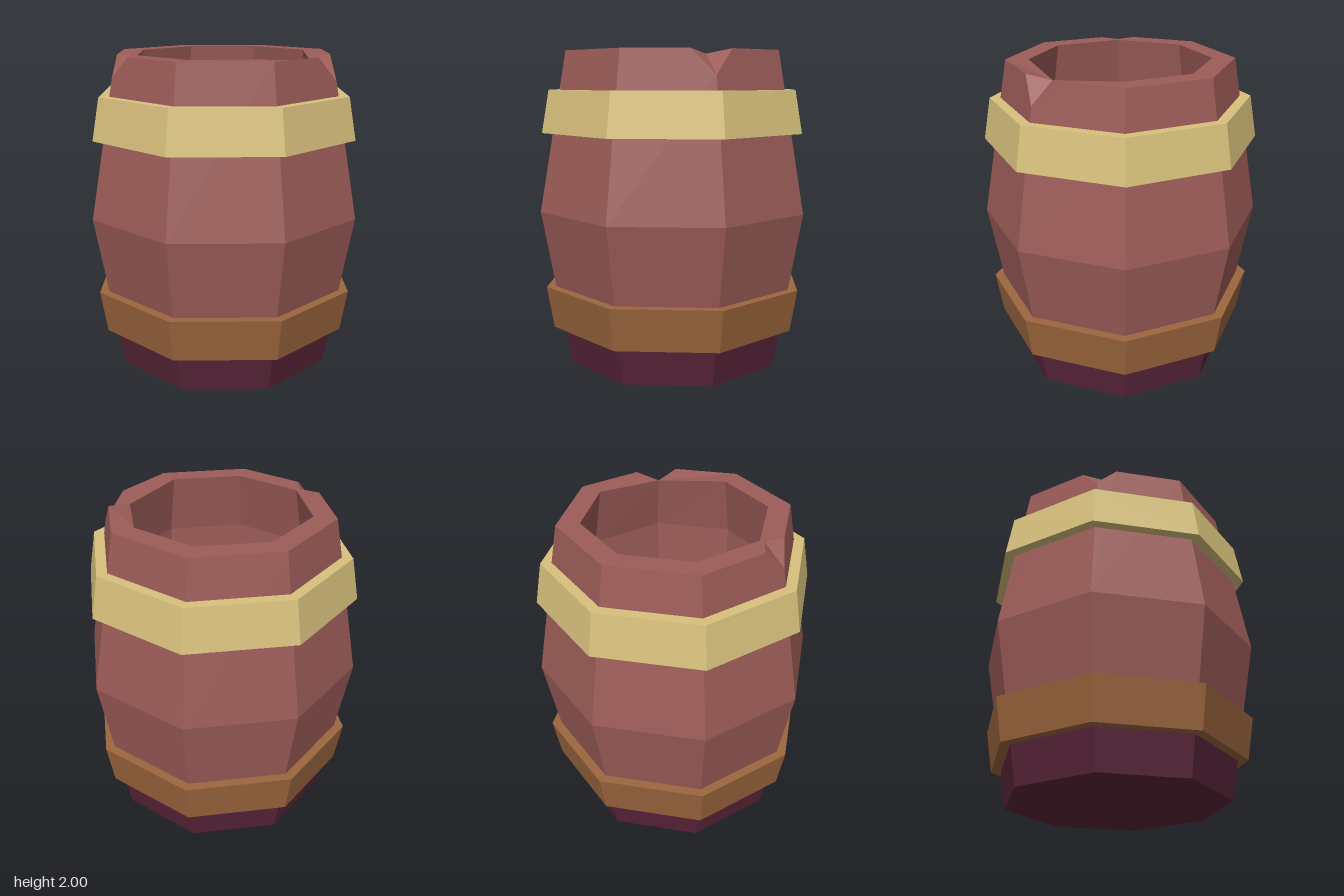
import * as THREE from 'three';

const SIDES = 8;
const mat = (name, color) => new THREE.MeshStandardMaterial({ name, color, flatShading: true });

// Point on the octagon: corner k, radius r, height y
function corner(k, r, y) {
  const a = (k * Math.PI * 2) / SIDES;
  return new THREE.Vector3(r * Math.sin(a), y, r * Math.cos(a));
}

// Flat-shaded geometry from a list of polygons, each cut as a fan
function fromPolygons(polygons) {
  const points = [];
  for (const p of polygons)
    for (let i = 1; i < p.length - 1; i++) points.push(p[0], p[i], p[i + 1]);
  const geometry = new THREE.BufferGeometry().setFromPoints(points);
  geometry.computeVertexNormals();
  return geometry;
}

// Eight-sided ring or shell from a profile of [radius, height]
function octagonLathe(profile) {
  const g = new THREE.LatheGeometry(profile.map(([r, y]) => new THREE.Vector2(r, y)), SIDES).toNonIndexed();
  g.computeVertexNormals();
  return g;
}

// Outer radius of the staves at height y
const bulge = (y) => 0.885 - 0.178 * Math.abs(y - 1);

// Upper staves and rim, with chips broken out of two corners
function upperStaves() {
  const chips = {
    1: { apexY: 1.85, t: 0.26, creaseR: 0.565, creaseY: 1.97 },
    6: { apexY: 1.87, t: 0.22, creaseR: 0.595, creaseY: 2 },
  };
  const top = (k) => corner(k, 0.707, 2);
  const inner = (k) => corner(k, 0.565, k % SIDES === 1 ? 1.97 : 2);
  const polygons = [];
  for (let i = 0; i < SIDES; i++) {
    const j = i + 1;
    const a = chips[i], b = chips[j % SIDES];
    const start = a ? top(i).lerp(top(j), a.t) : top(i);
    const end = b ? top(j).lerp(top(i), b.t) : top(j);
    // Stave face
    const face = [corner(i, bulge(1), 1), corner(j, bulge(1), 1)];
    if (b) face.push(corner(j, bulge(b.apexY), b.apexY));
    face.push(end, start);
    if (a) face.push(corner(i, bulge(a.apexY), a.apexY));
    polygons.push(face);
    // Rim face
    const rim = [start, end];
    if (b && b.creaseR > 0.565) rim.push(corner(j, b.creaseR, b.creaseY));
    rim.push(inner(j), inner(i));
    if (a && a.creaseR > 0.565) rim.push(corner(i, a.creaseR, a.creaseY));
    polygons.push(rim);
    // Inside wall below the rim
    polygons.push([inner(i), inner(j), corner(j, 0.63, 1.63), corner(i, 0.63, 1.63)]);
    // Chip faces
    if (a) {
      const apex = corner(i, bulge(a.apexY), a.apexY);
      const crease = corner(i, a.creaseR, a.creaseY);
      const left = top(i).lerp(top(i + SIDES - 1), a.t);
      polygons.push([apex, start, crease], [apex, crease, left]);
    }
  }
  return fromPolygons(polygons);
}

export function createModel() {
  const wood = mat('redBrownWood', 0x9c5c58);
  const base = mat('darkPurpleWood', 0x592438);
  const gold = mat('paleGold', 0xd8c17d);
  const bronze = mat('bronzeBrown', 0x9c663d);

  const barrel = new THREE.Group();
  barrel.name = 'barrel';
  const add = (name, geometry, material) => {
    const mesh = new THREE.Mesh(geometry, material);
    mesh.name = name;
    barrel.add(mesh);
  };

  add('upperStavesAndRim', upperStaves(), wood);
  add('lowerStaves', octagonLathe([[bulge(0.38), 0.38], [bulge(1), 1]]), wood);
  // Profile runs downward so the faces look into the barrel
  add('insideWall', octagonLathe([[0.63, 1.63], [0.6, 1], [0.57, 0.2]]), wood);
  add('insideFloor', octagonLathe([[0.57, 0.2], [0, 0.2]]), base);
  add('base', octagonLathe([[0, 0], [bulge(0), 0], [bulge(0.38), 0.38]]), base);

  // Hoops, flaring toward the middle of the barrel
  add('upperHoop', octagonLathe([[0.78, 1.495], [0.865, 1.495], [0.818, 1.76], [0.74, 1.76]]), gold);
  add('lowerHoop', octagonLathe([[0.74, 0.245], [0.815, 0.245], [0.86, 0.513], [0.78, 0.513]]), bronze);

  return barrel;
}
